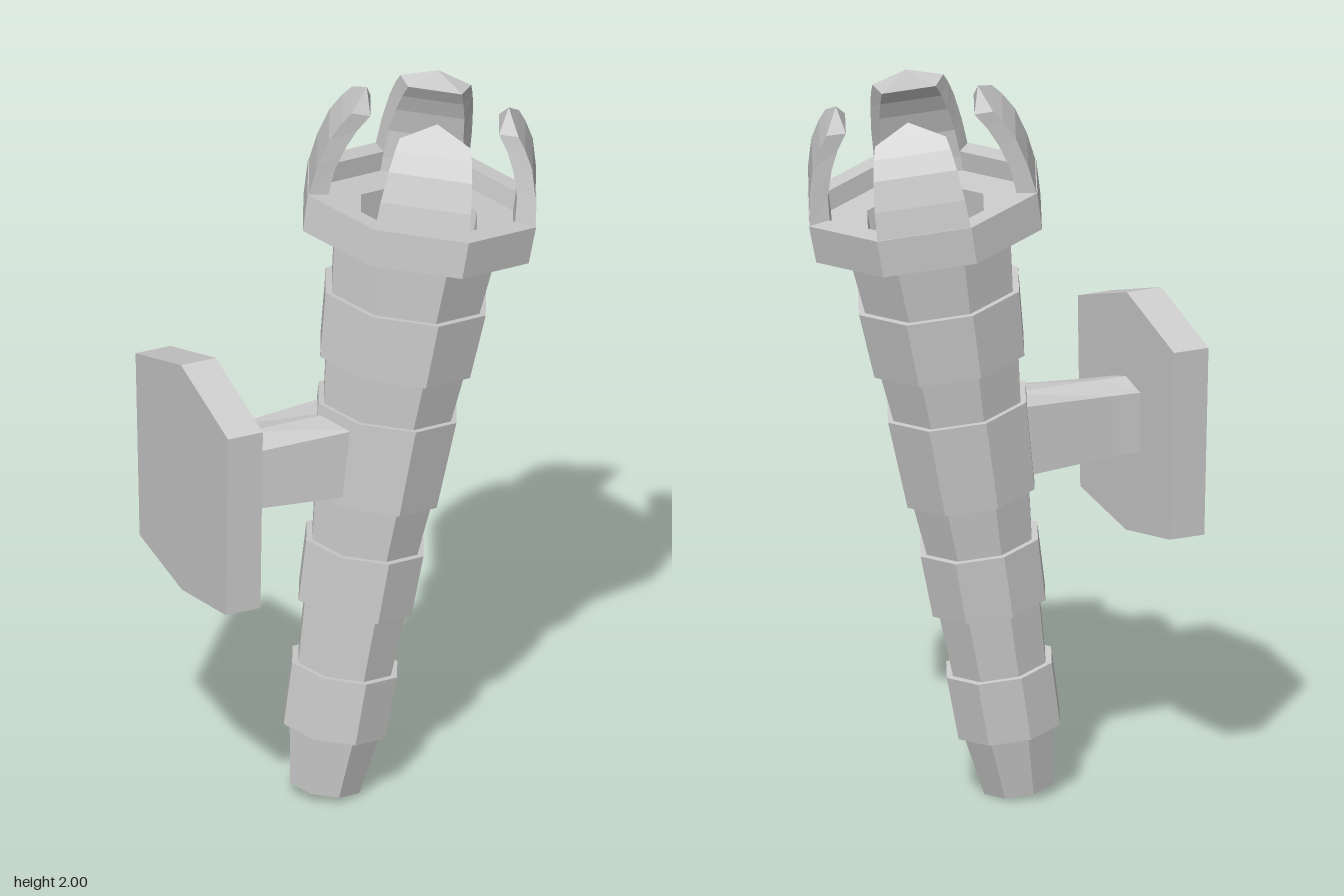
import * as THREE from 'three';

const material = new THREE.MeshStandardMaterial({ color: 0xcccccc, flatShading: true });
const rad = THREE.MathUtils.degToRad;
const TURN = 3.5; // slight twist of the octagons about the shaft

function addMesh(parent, name, geometry) {
  const mesh = new THREE.Mesh(geometry, material);
  mesh.name = name;
  parent.add(mesh);
  return mesh;
}

// Skin equal-length loops (counterclockwise seen from the far end), closing each end to a point.
function loft(loops, startTip, endTip) {
  const pos = [];
  const tri = (...pts) => pts.forEach((p) => pos.push(...p));
  const n = loops[0].length;
  const last = loops[loops.length - 1];
  for (let j = 0; j < n; j++) {
    const k = (j + 1) % n;
    for (let i = 0; i + 1 < loops.length; i++) {
      const [a, b, c, d] = [loops[i][j], loops[i][k], loops[i + 1][k], loops[i + 1][j]];
      tri(a, b, c);
      tri(a, c, d);
    }
    tri(loops[0][k], loops[0][j], startTip);
    tri(last[j], last[k], endTip);
  }
  const g = new THREE.BufferGeometry();
  g.setAttribute('position', new THREE.Float32BufferAttribute(pos, 3));
  g.computeVertexNormals();
  return g;
}

// Eight-sided turned body from [radius, height] pairs
function octLathe(profile) {
  const pts = profile.map(([r, y]) => new THREE.Vector2(r, y));
  return new THREE.LatheGeometry(pts, 8, rad(90 - TURN));
}

export function createModel() {
  const model = new THREE.Group();
  model.name = 'wallTorch';

  // Everything on the leaning axis
  const torch = new THREE.Group();
  torch.name = 'torch';
  torch.position.set(-0.098, 0.02, 0);
  torch.rotation.z = rad(-9.62);
  model.add(torch);

  // Tapered shaft with raised bands
  addMesh(torch, 'shaft', octLathe([
    [0, 0], [0.1, 0], [0.13, 0.172],
    [0.147, 0.172], [0.152, 0.35], [0.134, 0.35], [0.145, 0.53],
    [0.163, 0.53], [0.17, 0.705], [0.152, 0.705], [0.168, 0.85],
    [0.184, 0.85], [0.2, 1.1], [0.184, 1.1], [0.2, 1.235],
    [0.217, 1.235], [0.232, 1.42], [0.214, 1.42], [0.235, 1.6],
  ]));

  // Cup with a stepped hollow
  addMesh(torch, 'cup', octLathe([
    [0.2, 1.6], [0.327, 1.6], [0.331, 1.705], [0.272, 1.705],
    [0.272, 1.65], [0.168, 1.65], [0.168, 1.56], [0, 1.56],
  ]));

  // Curved prongs on alternate sides: [height out, radius out, half width out, height in, radius in, half width in]
  const prongLoops = [
    [1.69, 0.305, 0.126, 1.69, 0.251, 0.104],
    [1.78, 0.293, 0.121, 1.77, 0.245, 0.1],
    [1.86, 0.272, 0.112, 1.84, 0.224, 0.092],
    [1.91, 0.245, 0.103, 1.89, 0.2, 0.082],
    [1.94, 0.223, 0.095, 1.93, 0.172, 0.072],
  ].map(([yo, ro, wo, yi, ri, wi]) => [[-wo, yo, ro], [wo, yo, ro], [wi, yi, ri], [-wi, yi, ri]]);
  const prongGeometry = loft(prongLoops, [0, 1.69, 0.278], [0, 1.982, 0.19]);
  for (let i = 0; i < 4; i++) {
    addMesh(torch, 'prong' + (i + 1), prongGeometry).rotation.y = rad(67.5 - TURN + 90 * i);
  }

  // Six-sided wall plate
  const plateLoop = (x) => [
    [x, 1.25, -0.285], [x, 1.34, -0.005], [x, 1.25, 0.285],
    [x, 0.725, 0.27], [x, 0.68, 0], [x, 0.725, -0.26],
  ];
  addMesh(model, 'wallPlate', loft([plateLoop(-0.517), plateLoop(-0.415)], [-0.517, 1, 0], [-0.415, 1, 0]));

  // Arm flaring from the plate into the shaft
  const armLoop = ([x, w, low, shoulder, top]) => [
    [x, shoulder, -w], [x, top, 0], [x, shoulder, w],
    [x, low + 0.01, w], [x, low, 0], [x, low + 0.01, -w],
  ];
  const armLoops = [
    [-0.43, 0.085, 0.91, 1.083, 1.106],
    [-0.335, 0.086, 0.908, 1.086, 1.106],
    [-0.04, 0.108, 0.896, 1.1, 1.108],
  ].map(armLoop);
  addMesh(model, 'arm', loft(armLoops, [-0.43, 1, 0], [-0.04, 1, 0]));

  return model;
}
